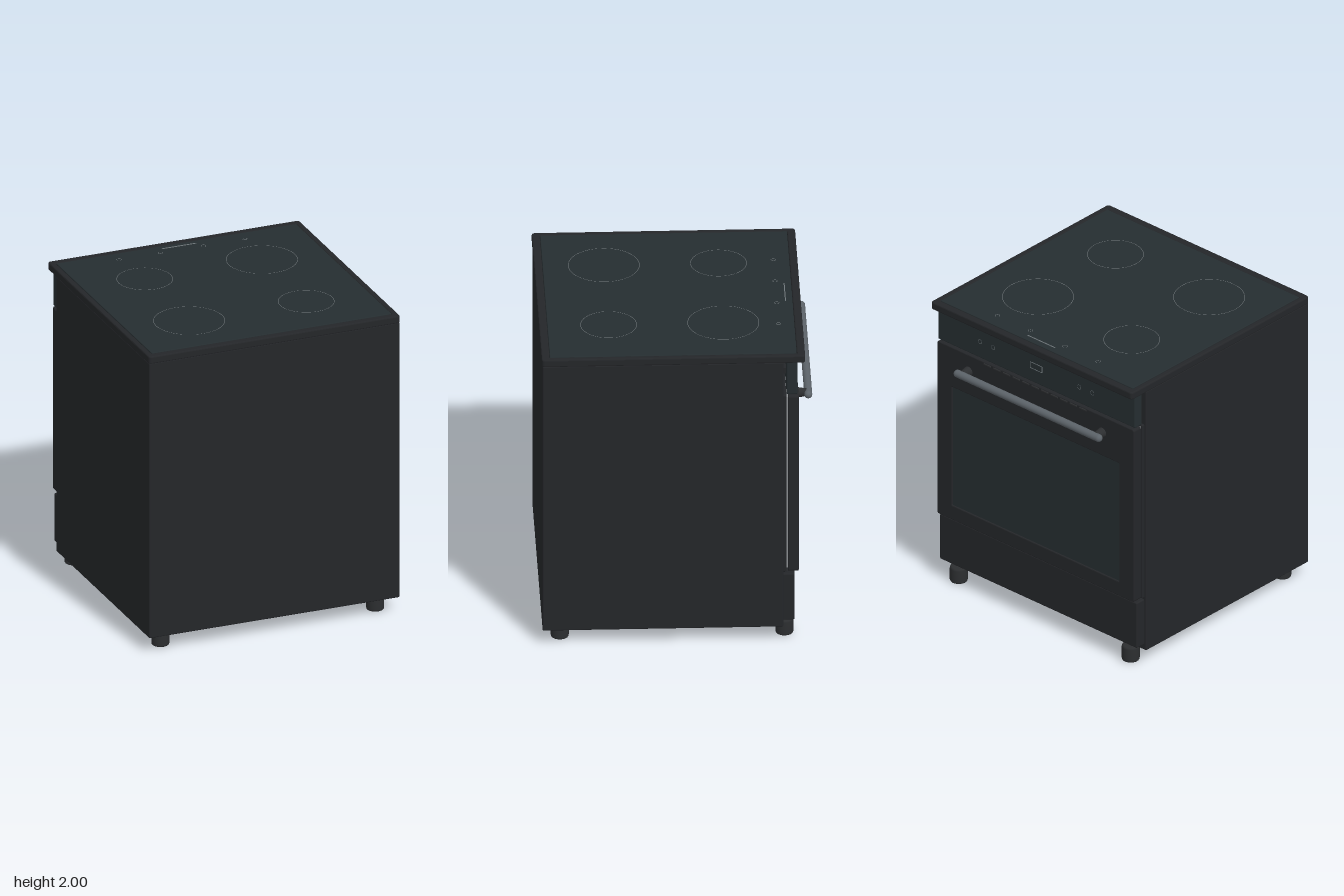
import * as THREE from 'three';
import { RoundedBoxGeometry } from 'three/addons/geometries/RoundedBoxGeometry.js';

const mat = (color) => new THREE.MeshStandardMaterial({ color });
const enamel = mat(0x242629), glass = mat(0x252d30), metal = mat(0x5c6369);
const rubber = mat(0x2c2e30), marking = mat(0x70787c), gasket = mat(0x8a8d90);

export function createModel() {
  const root = new THREE.Group();

  const add = (name, geometry, material, x = 0, y = 0, z = 0) => {
    const mesh = new THREE.Mesh(geometry, material);
    mesh.name = name;
    mesh.position.set(x, y, z);
    root.add(mesh);
    return mesh;
  };

  // Softened box given by its lower and upper limits
  const block = (name, material, [x0, x1], [y0, y1], [z0, z1], r = 0.008) =>
    add(name, new RoundedBoxGeometry(x1 - x0, y1 - y0, z1 - z0, 3, r), material,
      (x0 + x1) / 2, (y0 + y1) / 2, (z0 + z1) / 2);

  const roundedRect = (target, w, h, r) => {
    const x = w / 2, y = h / 2;
    target.moveTo(-x + r, -y);
    target.lineTo(x - r, -y).absarc(x - r, -y + r, r, -Math.PI / 2, 0);
    target.lineTo(x, y - r).absarc(x - r, y - r, r, 0, Math.PI / 2);
    target.lineTo(-x + r, y).absarc(-x + r, y - r, r, Math.PI / 2, Math.PI);
    target.lineTo(-x, -y + r).absarc(-x + r, -y + r, r, Math.PI, Math.PI * 1.5);
    return target;
  };

  // Bevelled frame with a rectangular opening, centred on its thickness
  const frame = (w, h, depth, holeW, holeH, holeY, r, bevel) => {
    const shape = roundedRect(new THREE.Shape(), w - 2 * bevel, h - 2 * bevel, r);
    const hole = roundedRect(new THREE.Shape(), holeW + 2 * bevel, holeH + 2 * bevel, r);
    shape.holes.push(new THREE.Path(hole.getPoints(5).map((p) => p.setY(p.y + holeY)).reverse()));
    return new THREE.ExtrudeGeometry(shape, {
      depth: depth - 2 * bevel, bevelThickness: bevel, bevelSize: bevel, bevelSegments: 2, curveSegments: 5,
    }).translate(0, 0, bevel - depth / 2);
  };

  // Flat ring, facing +z before rotation
  const ring = (radius, width) => new THREE.RingGeometry(radius - width, radius, 64);

  // Cabinet
  block('cabinet', enamel, [-0.84, 0.84], [0.1, 1.95], [-0.655, 0.835]);

  // Hob: surrounding rim and glass plate
  add('hobRim', frame(1.685, 1.63, 0.05, 1.61, 1.53, 0, 0.012, 0.008).rotateX(-Math.PI / 2),
    enamel, 0, 1.971, 0.025);
  block('hobGlass', glass, [-0.804, 0.804], [1.946, 1.997], [-0.739, 0.789], 0.004);

  // Cooking zones, touch keys and slider on the glass
  const zones = [[-0.395, -0.3, 0.175], [0.39, -0.3, 0.222], [-0.395, 0.41, 0.222], [0.39, 0.41, 0.175]];
  zones.forEach(([x, z, r]) =>
    add('cookingZone', ring(r, 0.003).rotateX(-Math.PI / 2), marking, x, 1.9985, z));
  [-0.425, -0.147, 0.142, 0.418].forEach((x) =>
    add('hobKey', ring(0.016, 0.003).rotateX(-Math.PI / 2), marking, x, 1.9985, -0.64));
  add('hobSlider', new THREE.BoxGeometry(0.23, 0.003, 0.006), marking, 0, 1.9985, -0.695);

  // Control panel with touch keys and display
  block('controlPanel', glass, [-0.825, 0.825], [1.718, 1.95], [-0.742, -0.675]);
  block('panelSupport', enamel, [-0.78, 0.78], [1.74, 1.94], [-0.68, -0.65], 0.003)
    .scale.set(0.95, 0.2, 1);
  [-0.47, -0.36, 0.36, 0.47].forEach((x) =>
    add('panelKey', ring(0.016, 0.003).rotateY(Math.PI), marking, x, 1.835, -0.7435));
  add('display', frame(0.1, 0.045, 0.003, 0.094, 0.039, 0, 0.003, 0.0005), marking, 0, 1.835, -0.743);

  // Oven door: inner panel, seal, outer frame and window
  block('doorInnerPanel', enamel, [-0.825, 0.825], [0.475, 1.71], [-0.675, -0.65], 0.006);
  block('doorSeal', gasket, [-0.815, 0.815], [0.5, 1.7], [-0.69, -0.67], 0.004);
  add('doorFrame', frame(1.65, 1.23, 0.067, 1.4, 0.845, -0.09, 0.01, 0.006), enamel, 0, 1.093, -0.7175);
  block('doorWindow', glass, [-0.71, 0.71], [0.57, 1.435], [-0.742, -0.69], 0.004);

  // Vent slots along the top of the door
  for (let i = 0; i < 11; i++) {
    block('doorVent', rubber, [-0.43 + i * 0.08, -0.37 + i * 0.08], [1.69, 1.701], [-0.757, -0.745], 0.003);
  }

  // Handle bar with rounded ends on two brackets
  add('handleBar', new THREE.CapsuleGeometry(0.025, 1.18, 6, 20).rotateZ(Math.PI / 2),
    metal, 0, 1.592, -0.818);
  for (const side of [-1, 1]) {
    add('handleBracket', new THREE.CylinderGeometry(0.022, 0.034, 0.075, 20).rotateX(-Math.PI / 2),
      rubber, side * 0.56, 1.592, -0.782);
  }

  // Storage drawer
  block('drawer', enamel, [-0.825, 0.825], [0.14, 0.462], [-0.725, -0.65]);

  // Feet with softened rims
  const footProfile = [[0, 0], [0.046, 0], [0.053, 0.004], [0.056, 0.012], [0.056, 0.092],
    [0.053, 0.102], [0.046, 0.107], [0, 0.107]].map(([x, y]) => new THREE.Vector2(x, y));
  const footGeometry = new THREE.LatheGeometry(footProfile, 24);
  for (const x of [-0.72, 0.72]) {
    for (const z of [-0.665, 0.725]) add('foot', footGeometry, rubber, x, 0, z);
  }
  return root;
}
